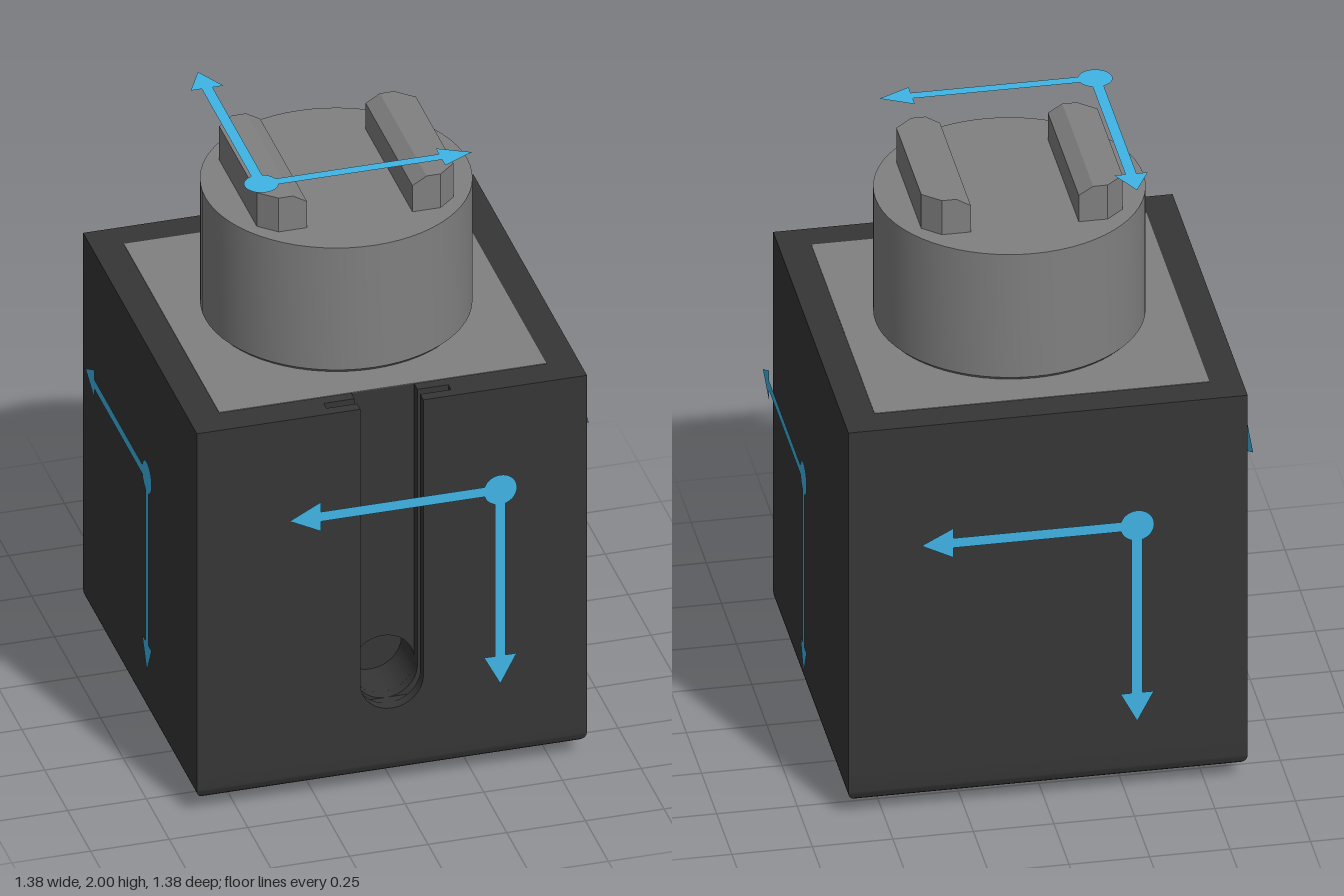
import * as THREE from 'three';
import { toCreasedNormals } from 'three/addons/utils/BufferGeometryUtils.js';

const material = (color, side = THREE.FrontSide) => new THREE.MeshStandardMaterial({ color, side });
const DARK = material(0x363636);
const GREY = material(0x808080);
const BLUE = material(0x40b4e5, THREE.DoubleSide);

// Body limits
const CX = -0.01, CZ = 0.02, HALF = 0.62, SEAM = 0.15, TOP = 1.36;
const X0 = CX - HALF, X1 = CX + HALF, BACK = CZ - HALF, FRONT = CZ + HALF;
const SLOT_Y = 0.38, SLOT_R = 0.1;

export function createModel() {
  const model = new THREE.Group();
  const add = (parent, name, geometry, mat, x = 0, y = 0, z = 0) => {
    const mesh = new THREE.Mesh(geometry, mat);
    mesh.name = name;
    mesh.position.set(x, y, z);
    parent.add(mesh);
    return mesh;
  };
  const extrude = (shape, depth) =>
    toCreasedNormals(new THREE.ExtrudeGeometry(shape, { depth, bevelEnabled: false, curveSegments: 24 }), 0.6);

  // Square case
  const body = new THREE.Group();
  body.name = 'case';
  model.add(body);

  // Foot of the case: a four-sided lathe with a rounded bottom edge
  const profile = [new THREE.Vector2(0, 0.05)];
  const r = 0.04;
  for (let i = 0; i <= 6; i++) {
    const a = (i / 6) * Math.PI / 2;
    profile.push(new THREE.Vector2((HALF - r + r * Math.sin(a)) * Math.SQRT2, 0.05 + r - r * Math.cos(a)));
  }
  profile.push(new THREE.Vector2(HALF * Math.SQRT2, SEAM));
  const foot = new THREE.LatheGeometry(profile, 4, Math.PI / 4);
  add(body, 'caseFoot', toCreasedNormals(foot, 0.6), DARK, CX, 0, CZ);

  // Solid rear of the case
  const rearDepth = 0.4 - BACK;
  add(body, 'caseRear', new THREE.BoxGeometry(2 * HALF, TOP - SEAM, rearDepth), DARK,
    CX, (TOP + SEAM) / 2, BACK + rearDepth / 2);

  // Layer with the round cable hole
  const holed = new THREE.Shape();
  holed.moveTo(X0, SEAM).lineTo(X1, SEAM).lineTo(X1, TOP).lineTo(X0, TOP).closePath();
  holed.holes.push(new THREE.Path().absarc(CX, SLOT_Y, SLOT_R, 0, Math.PI * 2, true));
  add(body, 'cableHoleWall', extrude(holed, 0.14), DARK, 0, 0, 0.4);

  // Front wall in three layers: a cable groove, with a wider slit in the middle
  const grooved = (w) => {
    const s = new THREE.Shape();
    s.moveTo(X0, SEAM).lineTo(X1, SEAM).lineTo(X1, TOP).lineTo(CX + w, TOP).lineTo(CX + w, SLOT_Y);
    if (w > SLOT_R) s.lineTo(CX + w, 0.28).lineTo(CX - w, 0.28);
    else s.absarc(CX, SLOT_Y, w, 0, Math.PI, true);
    s.lineTo(CX - w, TOP).lineTo(X0, TOP).closePath();
    return s;
  };
  for (const [name, w, z0, z1] of [
    ['grooveInnerWall', SLOT_R, 0.54, 0.575],
    ['coverSlitWall', 0.198, 0.575, 0.605],
    ['grooveOuterWall', SLOT_R, 0.605, FRONT],
  ]) add(body, name, extrude(grooved(w), z1 - z0), DARK, 0, 0, z0);

  // Inlaid top panel
  add(model, 'topPanel', new THREE.BoxGeometry(1.04, 0.02, 1.04), GREY, CX, TOP - 0.008, CZ);

  // Round head with a small bevel at its foot
  const head = [[0, 1.36], [0.4, 1.36], [0.416, 1.376], [0.416, 1.81], [0, 1.81]]
    .map(([x, y]) => new THREE.Vector2(x, y));
  add(model, 'head', toCreasedNormals(new THREE.LatheGeometry(head, 64), 0.6), GREY, -0.007, 0, 0.022);

  // Two locking lugs: chamfered outer corners, sloped inner edge
  const plan = new THREE.Shape();
  plan.moveTo(0.045, -0.255).lineTo(0.09, -0.255).lineTo(0.145, -0.205)
    .lineTo(0.145, 0.205).lineTo(0.09, 0.255).lineTo(0.045, 0.255).closePath();
  const slope = new THREE.Shape();
  slope.moveTo(0, 0).lineTo(0.045, 0).lineTo(0.045, 0.125).lineTo(0, 0.098).closePath();
  for (const [name, x, turn] of [['leftLug', 0.16, 0], ['rightLug', -0.175, Math.PI]]) {
    const lug = new THREE.Group();
    lug.name = name;
    lug.position.set(x, 1.805, 0.025);
    lug.rotation.y = turn;
    add(lug, 'lugBlock', extrude(plan, 0.125).rotateX(-Math.PI / 2), GREY);
    add(lug, 'lugSlope', extrude(slope, 0.51), GREY, 0, 0, -0.255);
    model.add(lug);
  }

  // Flat direction markers: a dot and two arrows at a right angle
  const arrow = (length) => {
    const s = new THREE.Shape();
    s.moveTo(0, -0.017).lineTo(length - 0.1, -0.017).lineTo(length - 0.1, -0.052).lineTo(length, 0)
      .lineTo(length - 0.1, 0.052).lineTo(length - 0.1, 0.017).lineTo(0, 0.017).closePath();
    return new THREE.ShapeGeometry(s);
  };
  const marker = (name, position, rotation, angleA, angleB) => {
    const g = new THREE.Group();
    g.name = name;
    g.position.set(...position);
    g.rotation.set(...rotation);
    add(g, 'markerDot', new THREE.CircleGeometry(0.053, 32), BLUE);
    add(g, 'acrossArrow', arrow(0.67), BLUE).rotation.z = angleA;
    add(g, 'alongArrow', arrow(0.69), BLUE).rotation.z = angleB;
    model.add(g);
  };
  const q = Math.PI / 2;
  marker('frontMarker', [0.32, 1.03, 0.69], [0, 0, 0], Math.PI, -q);
  marker('leftMarker', [0.69, 1.03, -0.285], [0, q, 0], Math.PI, -q);
  marker('backMarker', [-0.27, 0.99, -0.69], [0, Math.PI, 0], Math.PI, -q);
  marker('rightMarker', [-0.69, 1.02, 0.3], [0, -q, 0], Math.PI, -q);
  marker('topMarker', [-0.325, 2, 0.295], [-q, 0, 0], 0, q);
  marker('bottomMarker', [-0.325, 0, -0.32], [q, 0, 0], 0, q);

  return model;
}
